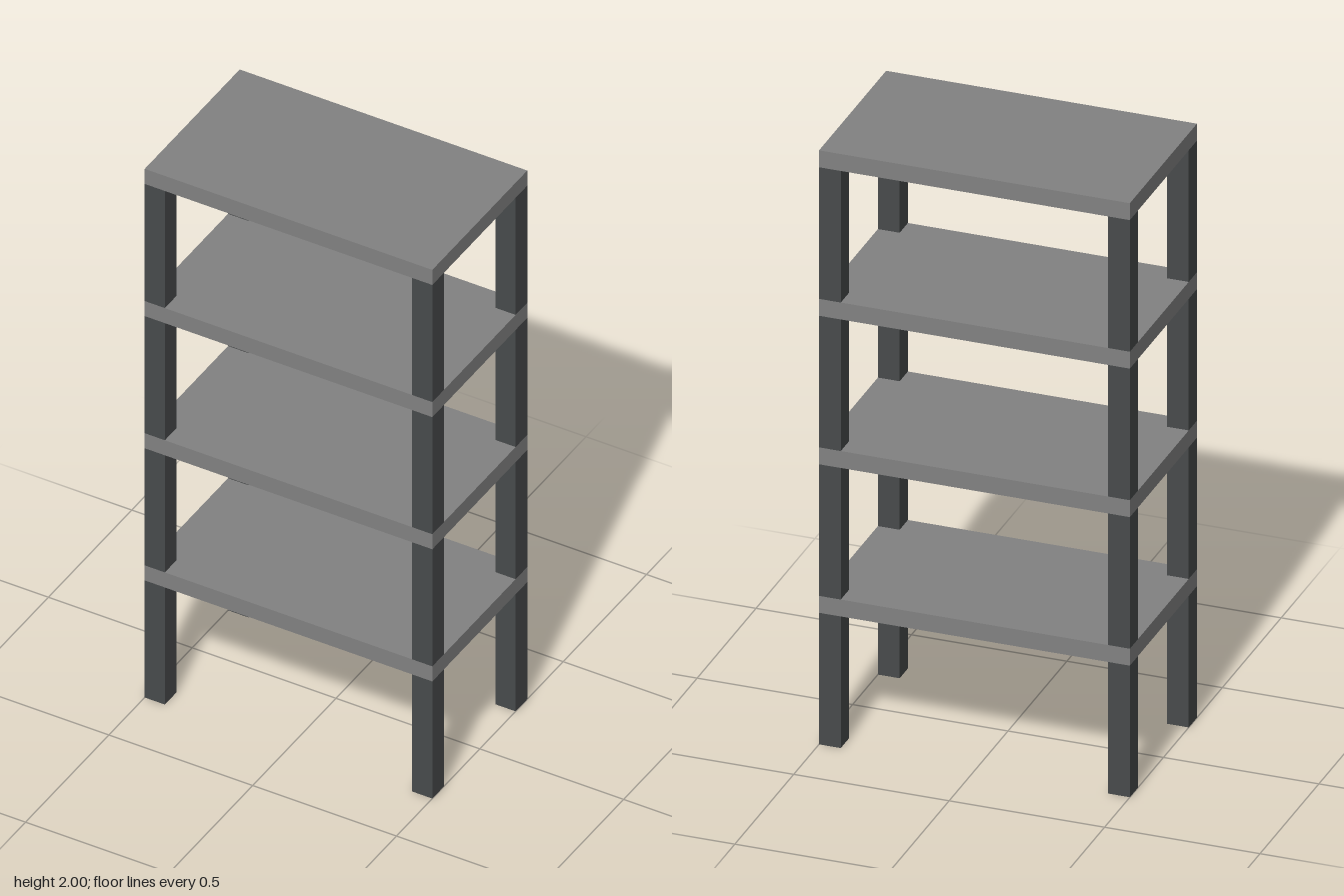
import * as THREE from 'three';

export function createModel() {
  const group = new THREE.Group();
  group.name = 'shelvingUnit';

  const width = 1, depth = 0.57, board = 0.057, post = 0.07;
  const shelfTops = [0.5, 1, 1.5, 2];
  const shelfMaterial = new THREE.MeshStandardMaterial({ color: 0x828282 });
  const legMaterial = new THREE.MeshStandardMaterial({ color: 0x484b4c });

  const addBox = (name, size, position, material) => {
    const mesh = new THREE.Mesh(new THREE.BoxGeometry(...size), material);
    mesh.position.set(...position);
    mesh.name = name;
    group.add(mesh);
  };

  let bottom = 0;
  shelfTops.forEach((top, i) => {
    // Shelf board
    addBox(`shelf${i + 1}`, [width, board, depth], [0, top - board / 2, 0], shelfMaterial);

    // Four corner leg sections, from the board below to this board
    const height = top - board - bottom;
    for (const [side, sx] of [['Left', 1], ['Right', -1]]) {
      for (const [end, sz] of [['front', 1], ['back', -1]]) {
        addBox(`${end}${side}Leg${i + 1}`, [post, height, post],
          [sx * (width - post) / 2, bottom + height / 2, sz * (depth - post) / 2], legMaterial);
      }
    }
    bottom = top;
  });

  return group;
}
